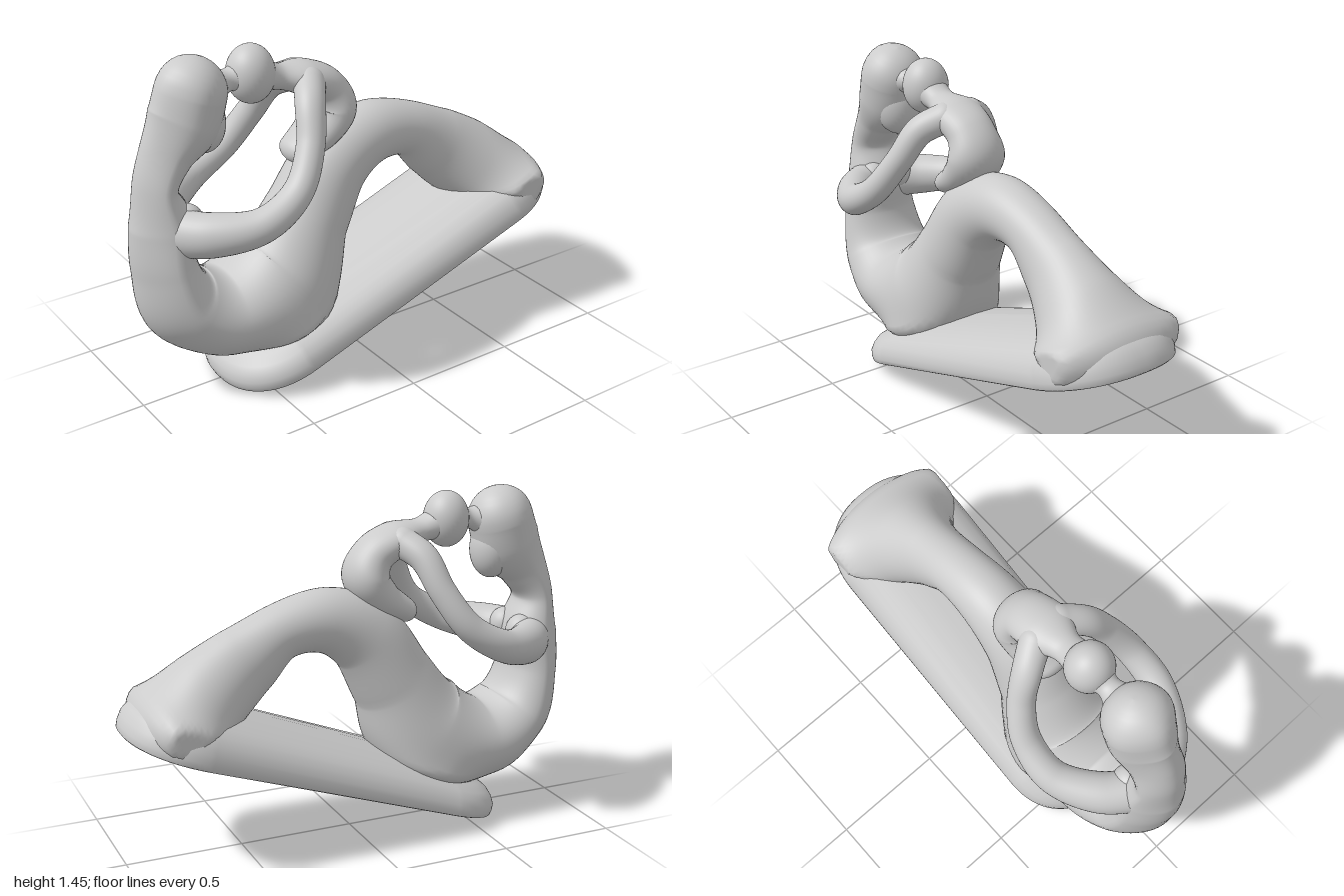
import * as THREE from 'three';

const material = new THREE.MeshStandardMaterial({ color: 0xcccccc });
const SLOPE = 0.348; // the underside is a plane leaning up towards +x
const planeY = (x) => 0.001 + SLOPE * (x + 0.64);
const smooth = THREE.MathUtils.smoothstep;

// Closed skin over rings that all have the same number of points.
function skin(name, rings) {
  const n = rings[0].length, pos = [], index = [];
  rings.forEach((ring) => ring.forEach((p) => pos.push(p.x, p.y, p.z)));
  for (let i = 0; i < rings.length - 1; i++) {
    for (let j = 0; j < n; j++) {
      const a = i * n + j, b = i * n + (j + 1) % n;
      index.push(a, b, a + n, b, b + n, a + n);
    }
  }
  const geometry = new THREE.BufferGeometry();
  geometry.setAttribute('position', new THREE.Float32BufferAttribute(pos, 3));
  geometry.setIndex(index);
  geometry.computeVertexNormals();
  const mesh = new THREE.Mesh(geometry, material);
  mesh.name = name;
  return mesh;
}

// Round-ended limb through stations [x, y, z, half depth, half width]; adjust(p, q) reshapes points.
function limb(name, stations, steps = 48, sides = 36, adjust = () => {}) {
  const path = new THREE.CatmullRomCurve3(stations.map((s) => new THREE.Vector3(s[0], s[1], s[2])));
  const sizes = new THREE.CatmullRomCurve3(stations.map((s) => new THREE.Vector3(s[3], s[4], 0)));
  const rings = [];
  const addRing = (t, shift, scale) => {
    const T = path.getTangent(t);
    const B = new THREE.Vector3(0, 0, 1).addScaledVector(T, -T.z).normalize();
    const N = new THREE.Vector3().crossVectors(B, T);
    const size = sizes.getPoint(t);
    const centre = path.getPoint(t).addScaledVector(T, shift * size.x);
    const ring = [];
    for (let j = 0; j < sides; j++) {
      const q = j / sides * Math.PI * 2;
      const p = centre.clone()
        .addScaledVector(N, size.x * scale * Math.cos(q))
        .addScaledVector(B, size.y * scale * Math.sin(q));
      adjust(p, q);
      ring.push(p);
    }
    rings.push(ring);
  };
  const cap = 8;
  for (let k = cap; k > 0; k--) {
    const q = k / cap * Math.PI / 2;
    addRing(0, -Math.sin(q), Math.cos(q));
  }
  for (let i = 0; i <= steps; i++) addRing(i / steps, 0, 1);
  for (let k = 1; k <= cap; k++) {
    const q = k / cap * Math.PI / 2;
    addRing(1, Math.sin(q), Math.cos(q));
  }
  return skin(name, rings);
}

// Narrows the spine, spreads the hips and feet onto the base, and stays above the underside.
function shapeBody(p, q) {
  p.z *= 1 - 0.28 * smooth(-p.x, 0.68, 0.88) * Math.max(0, -Math.cos(q));
  const rise = Math.max(0, (p.y - planeY(p.x)) * 0.94 - 0.14);
  p.z *= 1 + 0.4 * Math.exp(-rise / 0.06) * smooth(p.x, -0.65, -0.35);
  p.z = THREE.MathUtils.clamp(p.z, -0.295, 0.295);
  p.y = Math.max(p.y, planeY(p.x) + 0.015);
}

function ellipsoid(name, x, y, z, rx, ry, rz, tilt = 0) {
  const mesh = new THREE.Mesh(new THREE.SphereGeometry(1, 36, 24), material);
  mesh.name = name;
  mesh.position.set(x, y, z);
  mesh.scale.set(rx, ry, rz);
  mesh.rotation.z = tilt;
  return mesh;
}

// Leaning slab with round ends and a softly domed top.
function makeBase() {
  const half = 0.872, width = 0.315, sides = 96;
  const profile = [[width, 0], [0.012, 0], [0.003, 0.006], [0, 0.03], [0.003, 0.065],
    [0.02, 0.1], [0.045, 0.13], [0.09, 0.155], [0.16, 0.178], [0.24, 0.19], [width, 0.195]];
  const round = (v) => Math.sign(v) * Math.pow(Math.abs(v), 0.88);
  const rings = profile.map(([inset, h]) => {
    const ring = [], w = width - inset;
    for (let j = 0; j < sides; j++) {
      const q = (j + 0.5) / sides * Math.PI * 2, c = Math.cos(q), s = Math.sin(q);
      const u = Math.sign(c) * (half - width) + w * round(c);
      const thick = 0.78 + 0.22 * smooth(u, -0.7, -0.2) + 0.08 * smooth(u, 0.3, 0.7);
      ring.push(new THREE.Vector3(u, h * thick, -w * round(s)));
    }
    return ring;
  });
  const base = skin('base', rings);
  base.rotation.z = Math.atan(SLOPE);
  base.position.set(0.18, planeY(0.18), 0);
  return base;
}

export function createModel() {
  const group = new THREE.Group();
  group.name = 'motherAndChildSculpture';
  group.add(makeBase());

  // Mother: one flowing form from head, down the back, up the thigh, over the knee to the feet
  group.add(limb('motherBody', [
    [-0.715, 1.305, 0, 0.145, 0.145], [-0.752, 1.2, 0, 0.15, 0.14],
    [-0.835, 1.08, 0, 0.107, 0.115], [-0.888, 0.96, 0, 0.084, 0.12],
    [-0.873, 0.8, 0, 0.126, 0.155], [-0.873, 0.62, 0, 0.127, 0.18],
    [-0.805, 0.43, 0, 0.165, 0.215], [-0.62, 0.335, 0, 0.18, 0.24],
    [-0.34, 0.42, 0, 0.235, 0.235], [-0.2, 0.645, 0, 0.185, 0.185],
    [-0.07, 0.85, 0, 0.165, 0.155], [0.1, 0.94, 0, 0.14, 0.135],
    [0.3, 0.92, 0, 0.118, 0.12], [0.47, 0.81, 0, 0.157, 0.135],
    [0.63, 0.7, 0, 0.177, 0.185], [0.8, 0.61, 0, 0.15, 0.24],
  ], 160, 48, shapeBody));
  group.add(ellipsoid('motherFace', -0.675, 1.185, 0, 0.095, 0.135, 0.105, 0.1));

  // Child: head, touching brow, and curled body with legs on the mother's knee
  group.add(ellipsoid('childHead', -0.447, 1.325, 0, 0.098, 0.12, 0.1));
  group.add(limb('browBridge', [
    [-0.63, 1.31, 0, 0.08, 0.09], [-0.55, 1.32, 0, 0.045, 0.048], [-0.48, 1.325, 0, 0.085, 0.085],
  ], 24));
  group.add(limb('childBody', [
    [-0.42, 1.315, 0, 0.075, 0.08], [-0.33, 1.288, 0, 0.052, 0.065],
    [-0.21, 1.258, 0, 0.074, 0.115], [-0.11, 1.2, 0, 0.084, 0.11],
    [-0.075, 1.11, 0, 0.096, 0.13], [-0.14, 1.02, 0, 0.08, 0.12],
    [-0.245, 0.955, 0, 0.055, 0.09],
  ], 64));

  // Arms of mother and child flow together on each side
  for (const [name, s] of [['rightArms', -1], ['leftArms', 1]]) {
    group.add(limb(name, [
      [-0.86, 0.775, 0.035 * s, 0.1, 0.09], [-0.75, 0.788, 0.185 * s, 0.09, 0.085],
      [-0.58, 0.825, 0.288 * s, 0.07, 0.07], [-0.42, 0.92, 0.285 * s, 0.06, 0.062],
      [-0.32, 1.07, 0.225 * s, 0.057, 0.058], [-0.27, 1.2, 0.15 * s, 0.062, 0.06],
      [-0.215, 1.255, 0.06 * s, 0.065, 0.065],
    ], 64));
    group.add(ellipsoid('bust', -0.795, 0.81, 0.07 * s, 0.07, 0.075, 0.07));
  }
  return group;
}
